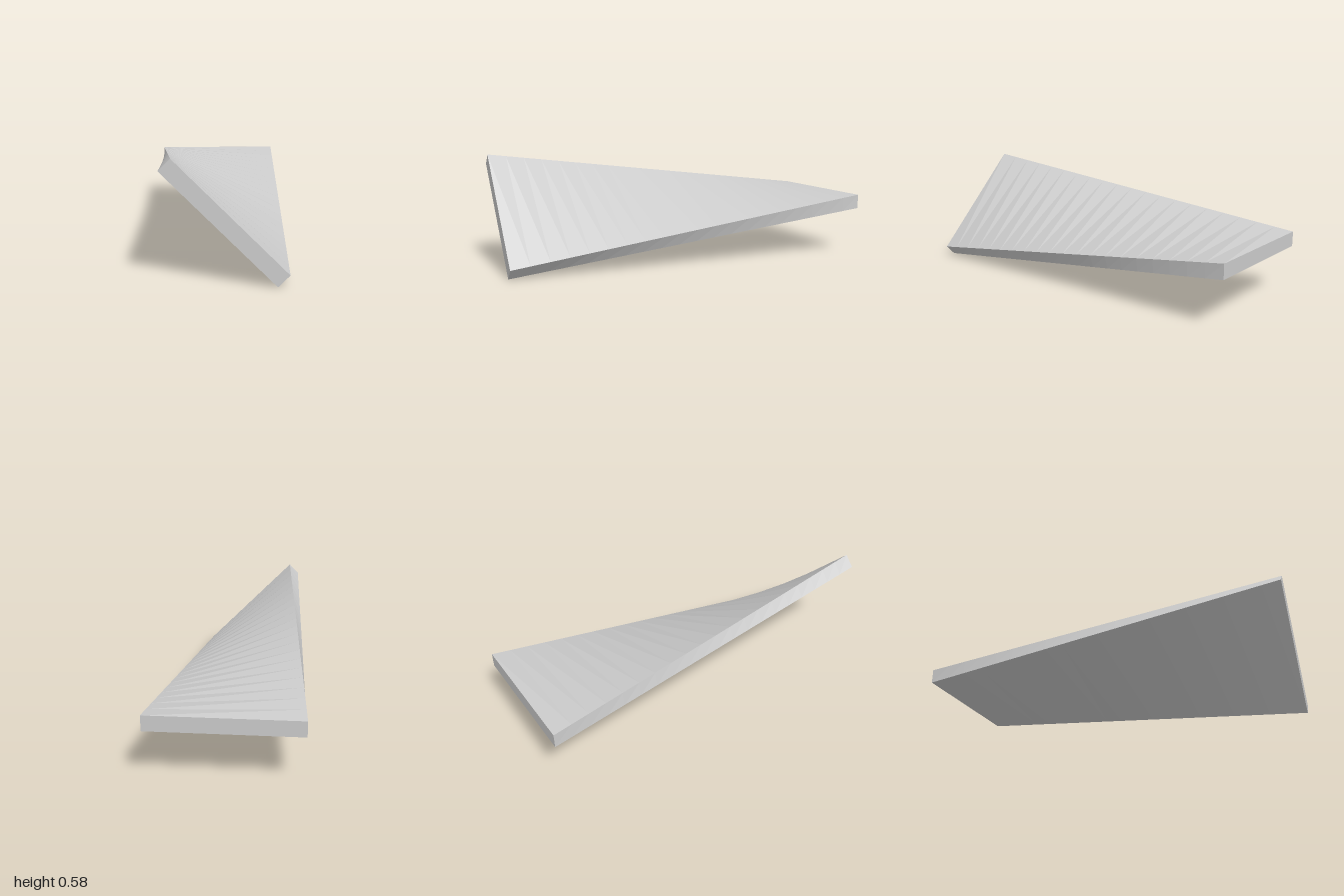
import * as THREE from 'three';

// Corner positions (x, y) of the end faces; the section centre sits at y = 0.294
const CENTRE_Y = 0.294, HALF_WIDTH = 0.374, HALF_THICK = 0.039;
const TWIST = -Math.PI / 4;

export function createModel() {
  const group = new THREE.Group();
  group.name = 'twistedSlab';

  // Plank along z: level at the back, rolled 45 degrees at the front,
  // with straight long edges (a ruled surface) between the two ends
  const geometry = new THREE.BoxGeometry(2 * HALF_WIDTH, 2 * HALF_THICK, 2, 1, 1, 20);
  const pos = geometry.attributes.position;
  const cos = Math.cos(TWIST), sin = Math.sin(TWIST);
  for (let i = 0; i < pos.count; i++) {
    const x = pos.getX(i), y = pos.getY(i), z = pos.getZ(i);
    const t = (z + 1) / 2;
    const frontX = x * cos - y * sin;
    const frontY = x * sin + y * cos;
    pos.setXYZ(
      i,
      THREE.MathUtils.lerp(x, frontX, t),
      CENTRE_Y + THREE.MathUtils.lerp(y, frontY, t),
      z
    );
  }
  geometry.computeVertexNormals();

  const slab = new THREE.Mesh(
    geometry,
    new THREE.MeshStandardMaterial({ color: 0xcccccc, flatShading: true })
  );
  slab.name = 'slab';
  group.add(slab);
  return group;
}
